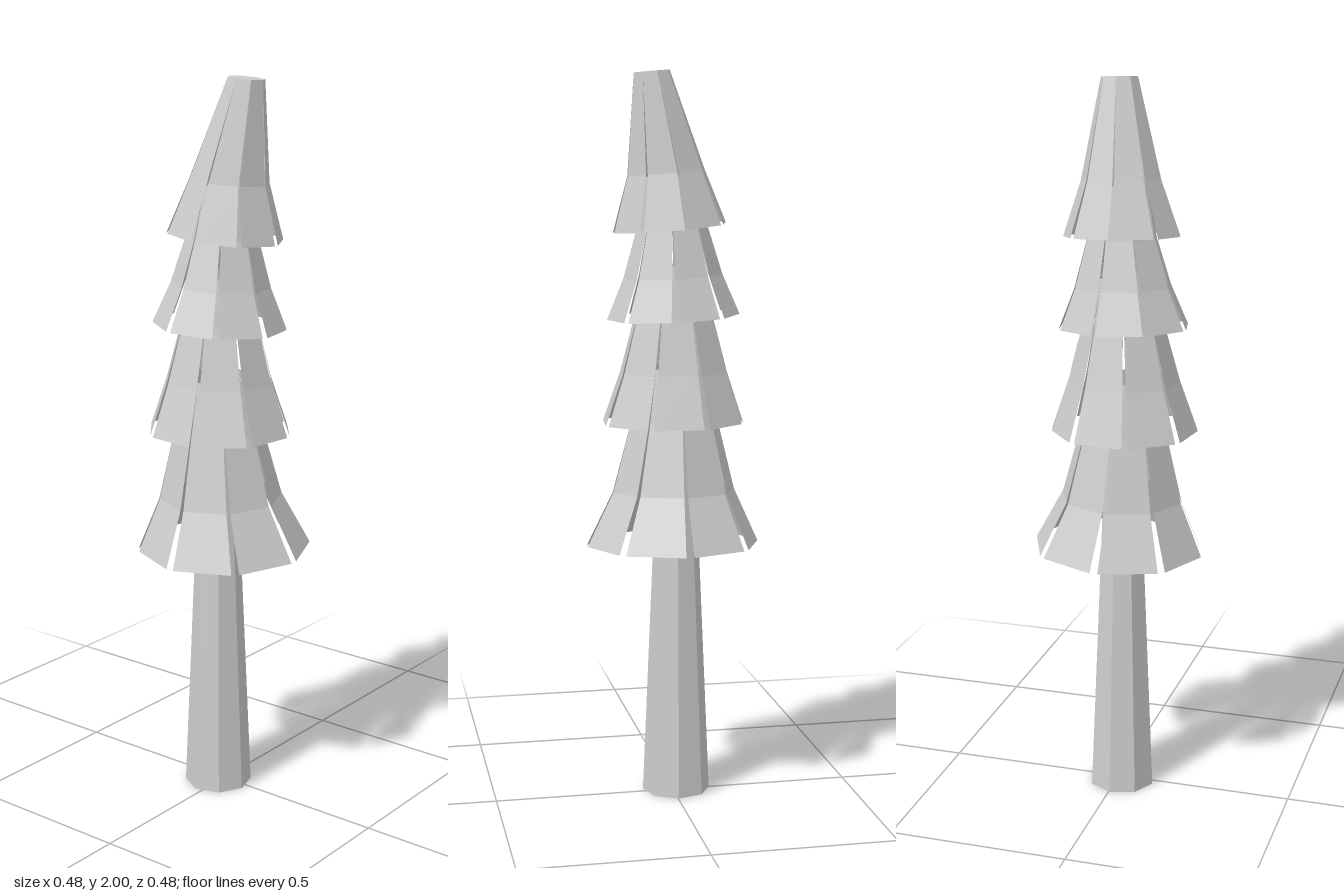
import * as THREE from 'three';

const SIDES = 8;
const RAD = Math.PI / 180;

const grey = new THREE.MeshStandardMaterial({ color: 0xcccccc, flatShading: true, side: THREE.DoubleSide });
grey.name = 'lightGrey';

// Each ring: [y, radius, centreX, centreZ], from hem to crown.
// turn: azimuth of one slit in degrees; tilt: slope of the rings along x and z.
const TIERS = [
  { name: 'bottomTier', turn: 0, tilt: [0.03, 0],
    rings: [[0.712, 0.24, 0, 0], [0.86, 0.17, -0.01, -0.005], [1.05, 0.122, -0.015, -0.008], [1.2, 0.09, -0.015, -0.008]] },
  { name: 'lowerMiddleTier', turn: 16.5, tilt: [0, -0.01],
    rings: [[1.05, 0.2, -0.017, -0.003], [1.19, 0.152, -0.016, -0.005], [1.34, 0.112, -0.014, -0.005], [1.48, 0.085, -0.013, -0.004]] },
  { name: 'upperMiddleTier', turn: -10.3, tilt: [-0.02, -0.05],
    rings: [[1.34, 0.181, -0.015, -0.005], [1.45, 0.135, -0.012, -0.003], [1.58, 0.097, -0.008, 0], [1.72, 0.075, -0.004, 0.008]] },
  { name: 'topTier', turn: 6, tilt: [-0.03, -0.09], capped: true,
    rings: [[1.582, 0.158, -0.005, 0.007], [1.73, 0.108, 0, 0.018], [1.995, 0.05, 0.017, 0.06]] },
];

// Point on a tilted ring at a given azimuth (0 = front, 90 = +x)
function ringPoint([y, r, cx, cz], tilt, degrees) {
  const dx = r * Math.sin(degrees * RAD), dz = r * Math.cos(degrees * RAD);
  return [cx + dx, y + tilt[0] * dx + tilt[1] * dz, cz + dz];
}

function meshFrom(positions, name) {
  const geometry = new THREE.BufferGeometry();
  geometry.setAttribute('position', new THREE.Float32BufferAttribute(positions, 3));
  geometry.computeVertexNormals();
  const mesh = new THREE.Mesh(geometry, grey);
  mesh.name = name;
  return mesh;
}

// A skirt of flared boughs, with slits that widen towards the hem
function buildTier({ name, turn, tilt, rings, capped }) {
  const tier = new THREE.Group();
  tier.name = name;
  const step = 360 / SIDES, last = rings.length - 1;
  for (let i = 0; i < SIDES; i++) {
    const middle = turn + (i + 0.5) * step;
    const edges = rings.map((ring, k) => {
      const half = step / 2 - 2.6 * (1 - k / last);
      return [ringPoint(ring, tilt, middle - half), ringPoint(ring, tilt, middle + half)];
    });
    const positions = [];
    for (let k = 0; k < last; k++) {
      const [a, b] = edges[k], [d, c] = edges[k + 1];
      positions.push(...a, ...b, ...c, ...a, ...c, ...d);
    }
    tier.add(meshFrom(positions, 'bough'));
  }
  if (capped) {
    // Flat cut tip
    const ring = rings[last], positions = [];
    for (let i = 0; i < SIDES; i++) {
      positions.push(ring[2], ring[0], ring[3],
        ...ringPoint(ring, tilt, turn + i * step), ...ringPoint(ring, tilt, turn + (i + 1) * step));
    }
    tier.add(meshFrom(positions, 'tip'));
  }
  return tier;
}

export function createModel() {
  const tree = new THREE.Group();
  tree.name = 'tree';

  // Tapered eight-sided trunk
  const trunk = new THREE.Mesh(new THREE.CylinderGeometry(0.045, 0.094, 1.15, SIDES), grey);
  trunk.name = 'trunk';
  trunk.rotation.y = -6 * RAD;
  trunk.position.set(-0.013, 0.575, -0.012);
  tree.add(trunk);

  for (const tier of TIERS) tree.add(buildTier(tier));
  return tree;
}
